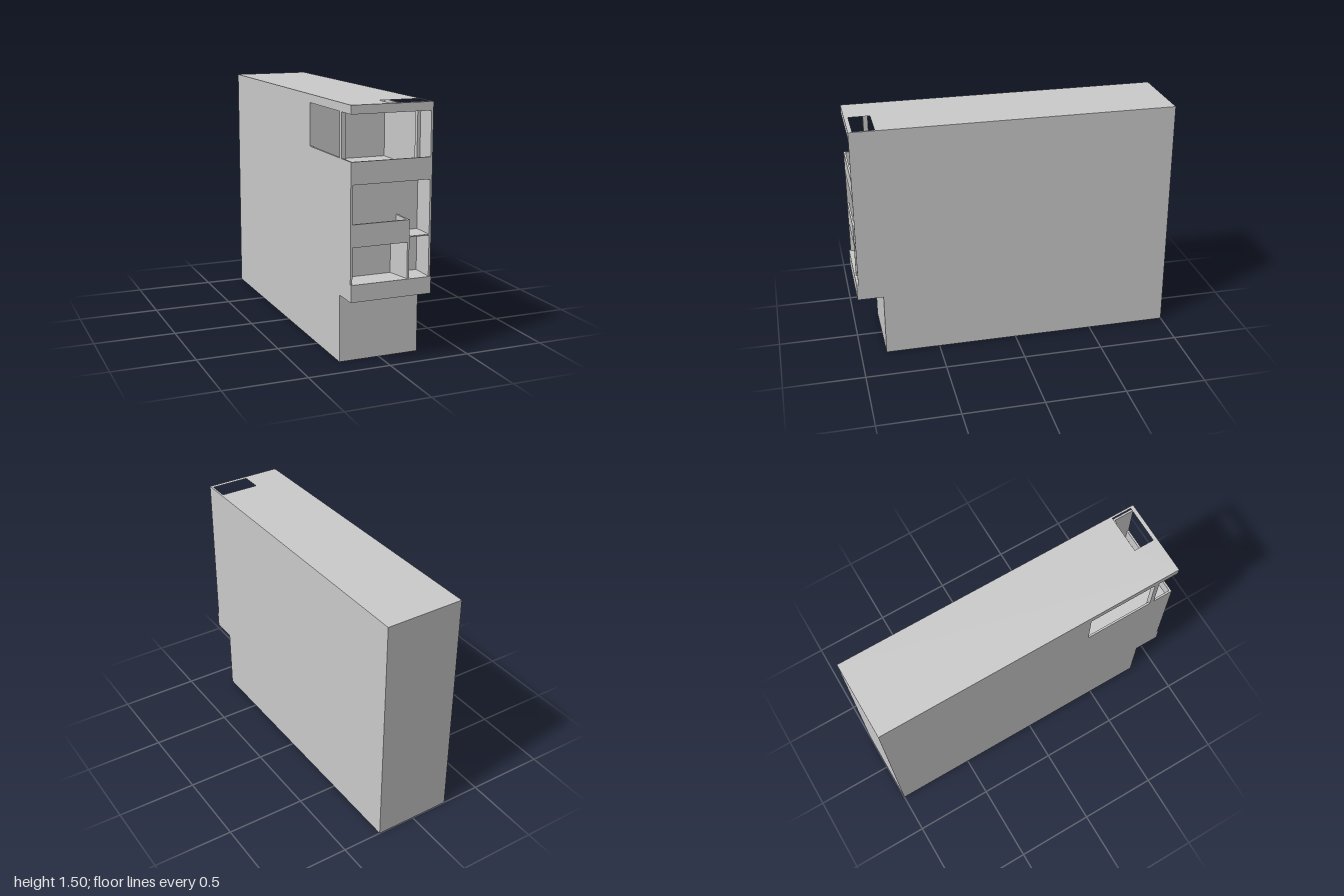
import * as THREE from 'three';

const L = -0.2475, R = 0.2475;      // outer side faces
const BACK = -1, WALL = 0.84, FRONT = 0.99;
const T = 0.012;                    // thin wall thickness

export function createModel() {
  const group = new THREE.Group();
  const material = new THREE.MeshStandardMaterial({ color: 0xcccccc });

  const add = (name, geometry) => {
    const mesh = new THREE.Mesh(geometry, material);
    mesh.name = name;
    group.add(mesh);
    return mesh;
  };

  // Box given by its limits on each axis
  const box = (name, x0, x1, y0, y1, z0, z1) => {
    const g = new THREE.BoxGeometry(x1 - x0, y1 - y0, z1 - z0);
    g.translate((x0 + x1) / 2, (y0 + y1) / 2, (z0 + z1) / 2);
    return add(name, g);
  };

  const outline = (points) => new THREE.Shape(points.map(([a, b]) => new THREE.Vector2(a, b)));

  // Side profile of [z, y] points, extruded from x0 to x1
  const sideProfile = (name, points, x0, x1) => {
    const g = new THREE.ExtrudeGeometry(outline(points), { depth: x1 - x0, bevelEnabled: false });
    g.rotateY(-Math.PI / 2);
    g.translate(x1, 0, 0);
    return add(name, g);
  };

  // Plan of [x, z] points, extruded from y0 to y1, with an optional hole
  const plan = (name, points, y0, y1, hole) => {
    const flip = (list) => list.map(([x, z]) => [x, -z]);
    const shape = outline(flip(points));
    if (hole) shape.holes.push(outline(flip(hole)));
    const g = new THREE.ExtrudeGeometry(shape, { depth: y1 - y0, bevelEnabled: false });
    g.rotateX(-Math.PI / 2);
    g.translate(0, y0, 0);
    return add(name, g);
  };

  const rect = (x0, x1, z0, z1) => [[x0, z0], [x1, z0], [x1, z1], [x0, z1]];

  // Main block, stepped back for the roof terrace
  sideProfile('mainBlock', [
    [BACK, 0], [WALL, 0], [WALL, 1.1], [0.39, 1.1], [0.39, 1.445], [BACK, 1.445],
  ], L, R);

  // Roof slab with a skylight opening
  plan('roof', rect(L, R, BACK, FRONT), 1.445, 1.495, rect(-0.01, 0.235, 0.835, 0.965));

  // Side walls: full height on the left, parapet height on the right
  const sideWall = (top) => [
    [WALL, 0.5], [FRONT, 0.5], [FRONT, top], [0.39, top], [0.39, 1.1], [WALL, 1.1],
  ];
  sideProfile('leftWall', sideWall(1.445), R - T, R);
  sideProfile('rightWall', sideWall(1.187), L, L + T);

  // Terrace floor edge, front parapet and posts
  box('terraceFloor', L + T, R - T, 1.06, 1.1, WALL, FRONT);
  box('terraceParapet', L + T, R - T, 1.1, 1.187, FRONT - T, FRONT);
  box('rightPost', L, -0.22, 1.1, 1.445, 0.83, 0.86);
  box('leftPost', 0.217, R - T, 1.1, 1.445, 0.83, 0.86);

  // Middle balcony: floor, front rail and side return
  box('balconyFloor', L + T, 0.1125, 0.71, 0.745, WALL, FRONT);
  box('balconyLanding', 0.1125, R - T, 0.738, 0.745, WALL, FRONT);
  box('balconyRail', L + T, 0.1125, 0.745, 0.84, FRONT - T, FRONT);
  box('balconyReturn', 0.1005, 0.1125, 0.745, 0.84, WALL, FRONT - T);

  // Lower alcove: partition and splayed reveals
  box('partition', 0.1, 0.1125, 0.5, 0.71, WALL, FRONT);
  plan('rightReveal', [[L + T, WALL], [-0.2, WALL], [L + T, FRONT]], 0.5, 0.71);
  plan('leftReveal', [[0.068, WALL], [0.1, WALL], [0.1, FRONT]], 0.5, 0.71);

  // Overhanging band under the lower alcove
  box('overhang', L, R, 0.4, 0.5, WALL, 1);

  return group;
}
